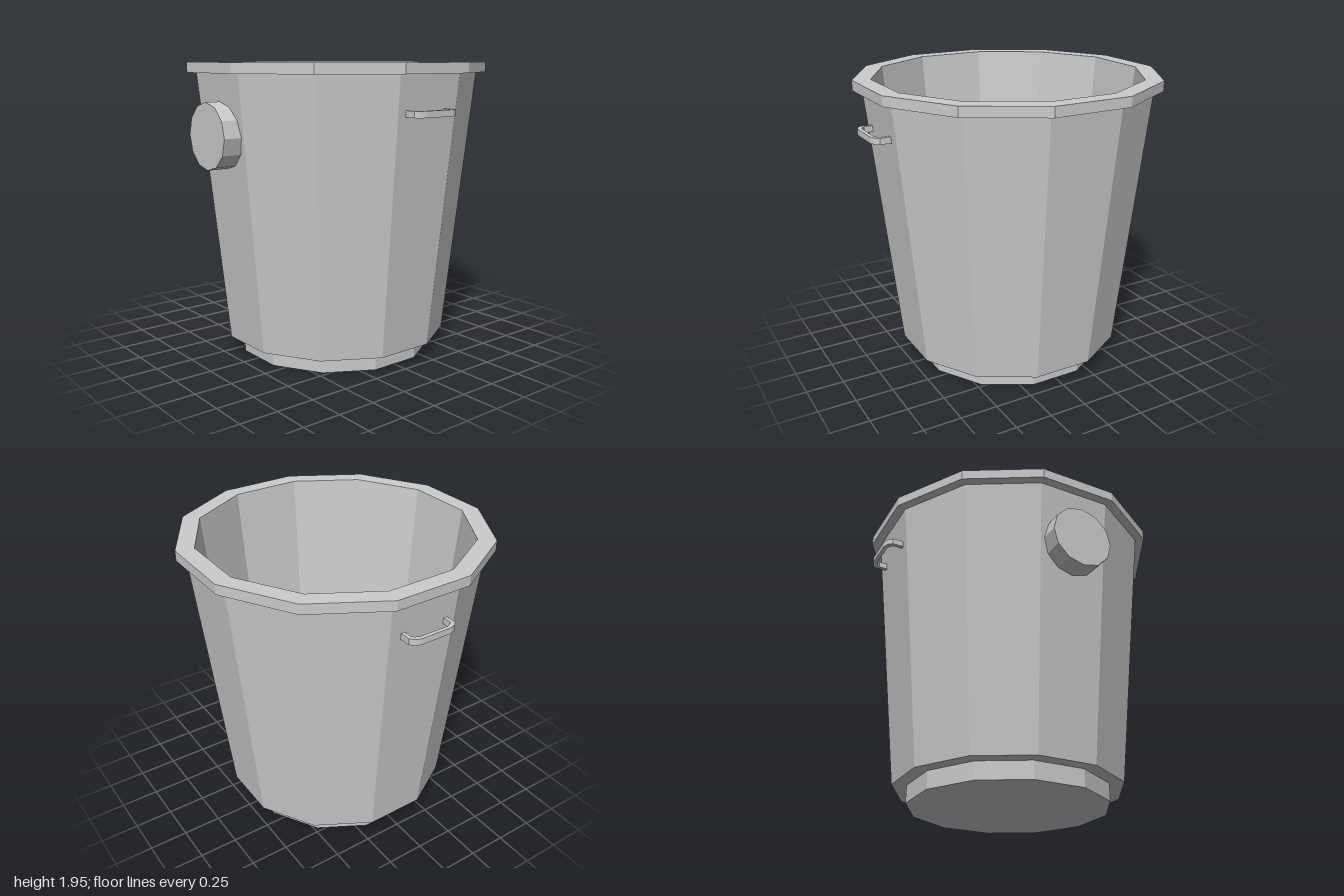
import * as THREE from 'three';

const material = new THREE.MeshStandardMaterial({ color: 0xcccccc, flatShading: true });
const SIDES = 12;
const CENTRE_Z = -0.01;

// Twelve-sided turned shell; profile points are [distance to flat, height]
function facetedLathe(name, profile) {
  const toCorner = 1 / Math.cos(Math.PI / SIDES);
  const points = profile.map(([r, y]) => new THREE.Vector2(r * toCorner, y));
  const mesh = new THREE.Mesh(new THREE.LatheGeometry(points, SIDES, Math.PI / SIDES), material);
  mesh.name = name;
  mesh.position.z = CENTRE_Z;
  return mesh;
}

// Bent strip handle, its outline drawn in the x-z plane
function handle(name, side) {
  const outer = [[0.865, 0.168], [0.96, 0.168], [0.985, 0.147], [1.0, 0.11]];
  const inner = [[0.975, 0.097], [0.962, 0.128], [0.945, 0.143], [0.865, 0.143]];
  const half = [...outer, ...inner];
  const outline = [
    ...outer,
    ...outer.map(([x, z]) => [x, -z]).reverse(),
    ...half.slice(4).map(([x, z]) => [x, -z]).reverse(),
    ...inner,
  ];
  const shape = new THREE.Shape(outline.map(([x, z]) => new THREE.Vector2(x * side, z)));
  const geometry = new THREE.ExtrudeGeometry(shape, { depth: 0.04, bevelEnabled: false });
  geometry.rotateX(-Math.PI / 2);
  const mesh = new THREE.Mesh(geometry, material);
  mesh.name = name;
  mesh.position.set(0, 1.63, 0);
  return mesh;
}

export function createModel() {
  const bucket = new THREE.Group();
  bucket.name = 'bucket';

  // Recessed foot, tapered wall, projecting rim and hollow interior
  bucket.add(
    facetedLathe('foot', [[0, 0], [0.64, 0], [0.64, 0.115]]),
    facetedLathe('outerWall', [[0.64, 0.115], [0.732, 0.115], [0.912, 1.88]]),
    facetedLathe('rim', [[0.912, 1.88], [0.97, 1.88], [0.97, 1.945], [0.857, 1.945]]),
    facetedLathe('interior', [[0.857, 1.945], [0.708, 0.2], [0, 0.2]]),
  );

  // Round plaque on the front
  const plaque = new THREE.Mesh(new THREE.CylinderGeometry(0.208, 0.208, 0.145, 12), material);
  plaque.name = 'frontPlaque';
  plaque.rotation.x = Math.PI / 2;
  plaque.position.set(0, 1.5, 0.9075);
  bucket.add(plaque);

  bucket.add(handle('leftHandle', 1), handle('rightHandle', -1));
  return bucket;
}
